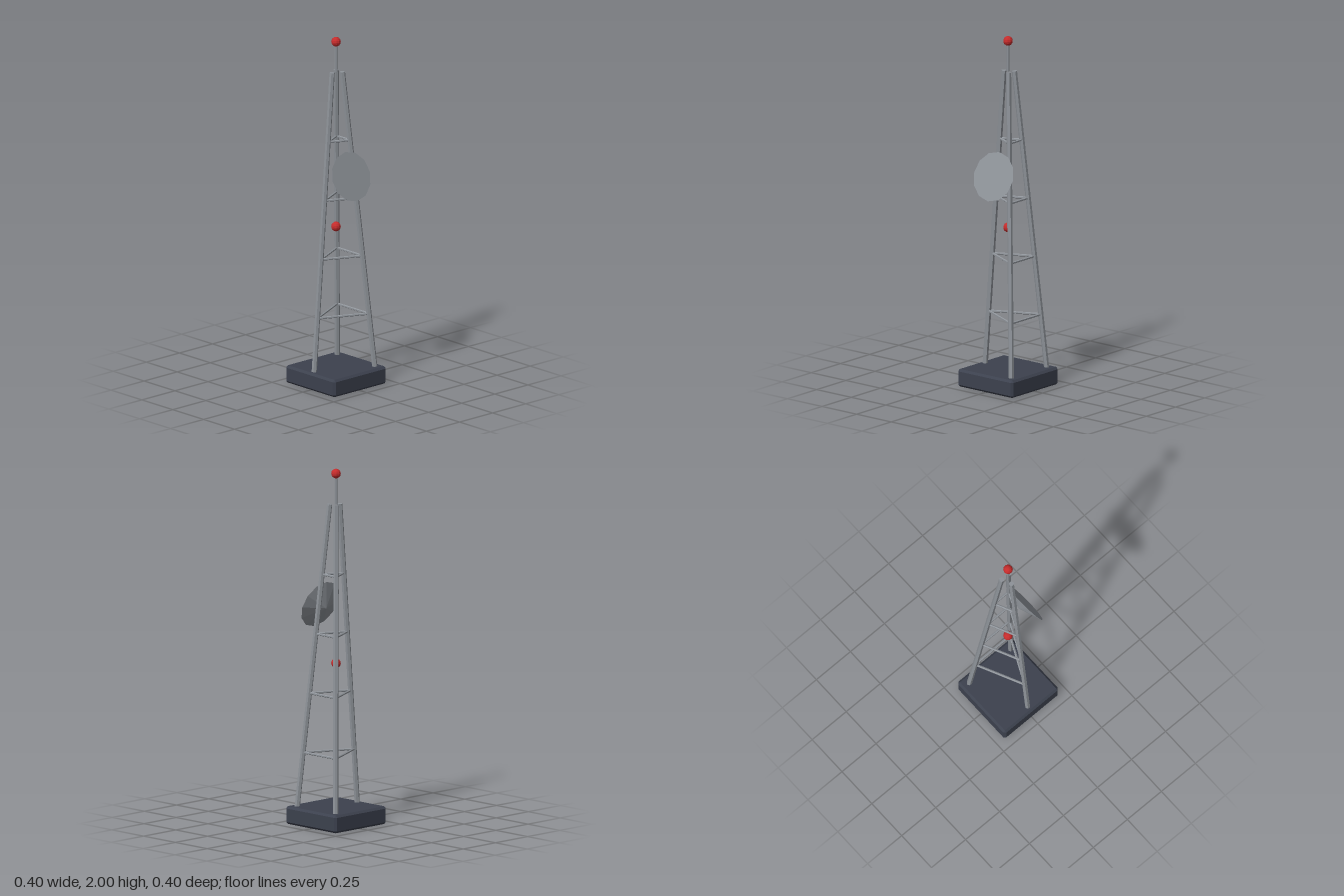
import * as THREE from 'three';
import { ConvexGeometry } from 'three/addons/geometries/ConvexGeometry.js';

const V = (x, y, z) => new THREE.Vector3(x, y, z);
const UP = V(0, 1, 0);

export function createModel() {
  const model = new THREE.Group();
  const paint = (name, color) => {
    const m = new THREE.MeshStandardMaterial({ color, flatShading: true });
    m.name = name;
    return m;
  };
  const slate = paint('dark slate', 0x3c414e);
  const steel = paint('steel grey', 0x8e9399);
  const red = paint('beacon red', 0xc62c2c);

  const add = (name, geometry, material) => {
    const mesh = new THREE.Mesh(geometry, material);
    mesh.name = name;
    model.add(mesh);
    return mesh;
  };

  // straight bar between two points
  const bar = (name, a, b, radius, sides) => {
    const dir = b.clone().sub(a);
    const geo = new THREE.CylinderGeometry(radius, radius, dir.length(), sides);
    geo.rotateY(Math.PI / sides);
    const mesh = add(name, geo, steel);
    mesh.position.copy(a).lerp(b, 0.5);
    mesh.quaternion.setFromUnitVectors(UP, dir.normalize());
  };

  // base block with every edge chamfered
  const half = [0.2, 0.05, 0.2];
  const chamfer = 0.012;
  const corners = [];
  for (const sx of [-1, 1]) for (const sy of [-1, 1]) for (const sz of [-1, 1]) {
    for (let full = 0; full < 3; full++) {
      const [x, y, z] = half.map((h, i) => (i === full ? h : h - chamfer));
      corners.push(V(sx * x, 0.05 + sy * y, sz * z));
    }
  }
  add('base', new ConvexGeometry(corners), slate);

  // three leaning legs
  const legs = [
    { name: 'frontLeg', foot: V(0, 0.09, 0.165), head: V(0, 1.8, 0.029) },
    { name: 'backLeftLeg', foot: V(0.152, 0.09, -0.152), head: V(0.025, 1.8, -0.025) },
    { name: 'backRightLeg', foot: V(-0.152, 0.09, -0.152), head: V(-0.025, 1.8, -0.025) },
  ];
  legs.forEach((l) => bar(l.name, l.foot, l.head, 0.015, 6));

  // triangular rings of cross braces
  const legPoint = (l, y) => l.foot.clone().lerp(l.head, (y - l.foot.y) / (l.head.y - l.foot.y));
  for (const y of [0.403, 0.737, 1.071, 1.405]) {
    legs.forEach((l, i) => {
      bar('crossBrace', legPoint(l, y), legPoint(legs[(i + 1) % 3], y), 0.007, 6);
    });
  }

  // mast with beacons
  bar('mast', V(0, 1.8, 0), V(0, 1.96, 0), 0.008, 6);
  for (const y of [1.973, 0.905]) {
    const ball = new THREE.SphereGeometry(0.027, 10, 8);
    add('beacon', ball, red).position.y = y;
  }

  // shallow dish tilted up towards the model's left, flat face outward
  const facing = V(0.937, 0.35, 0).normalize();
  const dish = add('dish', new THREE.ConeGeometry(0.14, 0.05, 12), steel);
  dish.position.set(0.1, 1.212, 0);
  dish.quaternion.setFromUnitVectors(UP, facing.negate());

  return model;
}
